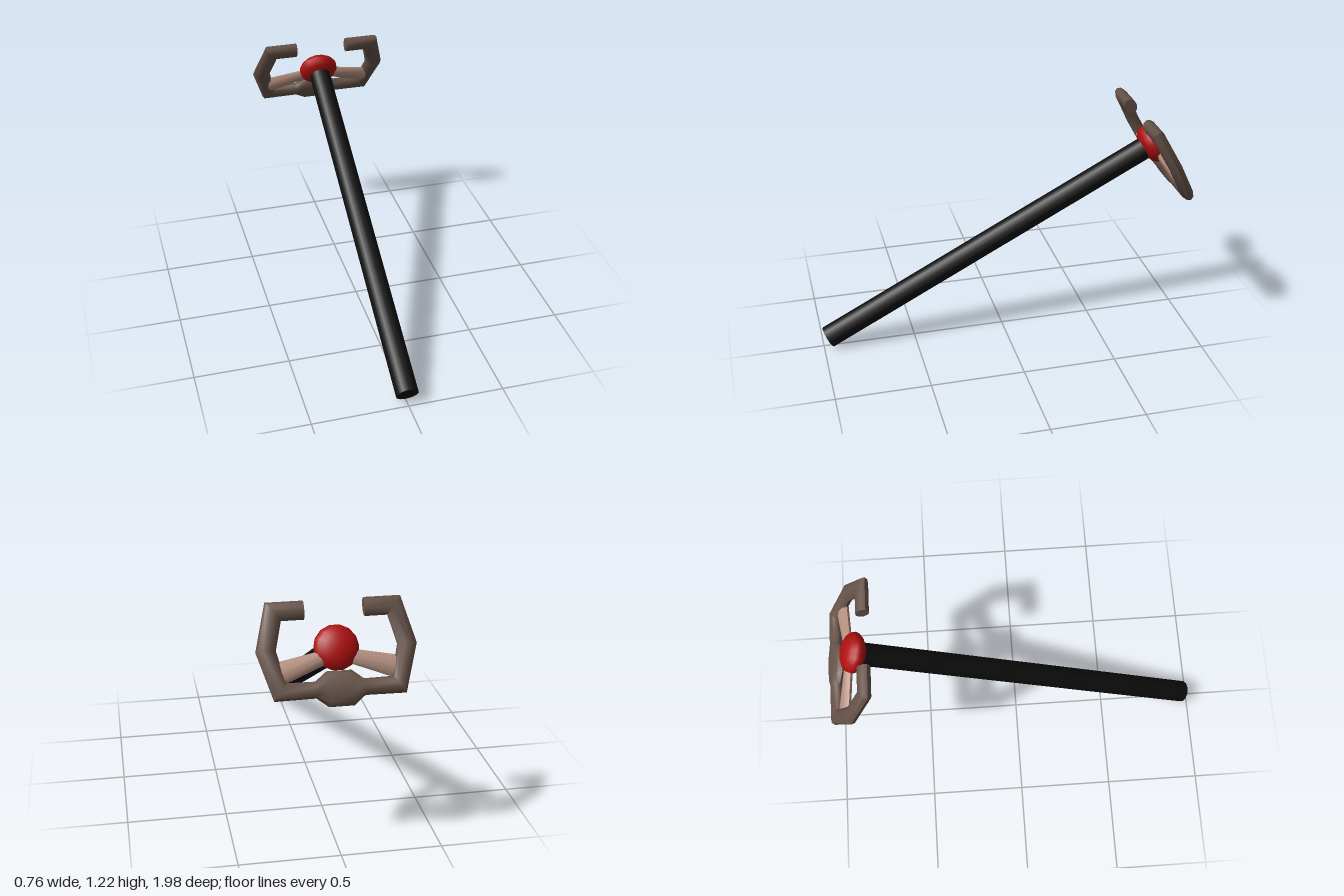
import * as THREE from 'three';
import { toCreasedNormals } from 'three/addons/utils/BufferGeometryUtils.js';

const mat = (name, color) => Object.assign(new THREE.MeshStandardMaterial({ color }), { name });

// Mitred oval tube in the xy plane; each point is [x, y, half width in plane, half depth]
function ovalTube(points, sides) {
  const pos = [], index = [];
  const dirs = points.slice(1).map((p, i) =>
    new THREE.Vector2(p[0] - points[i][0], p[1] - points[i][1]).normalize());
  points.forEach(([x, y, a, b], i) => {
    const d1 = dirs[Math.max(i - 1, 0)], d2 = dirs[Math.min(i, dirs.length - 1)];
    const d = d1.clone().add(d2).normalize();
    const w = a / d.dot(d1);
    for (let j = 0; j < sides; j++) {
      const t = (j / sides) * Math.PI * 2;
      pos.push(x - d.y * w * Math.cos(t), y + d.x * w * Math.cos(t), b * Math.sin(t));
    }
  });
  const last = points.length - 1;
  for (let j = 0; j < sides; j++) {
    const k = (j + 1) % sides;
    for (let i = 0; i < last; i++) {
      const p = i * sides, q = p + sides;
      index.push(p + j, p + k, q + j, p + k, q + k, q + j);
    }
    // end caps
    if (j > 0 && k > 0) {
      index.push(0, k, j);
      index.push(last * sides, last * sides + j, last * sides + k);
    }
  }
  const g = new THREE.BufferGeometry();
  g.setAttribute('position', new THREE.Float32BufferAttribute(pos, 3));
  g.setIndex(index);
  return toCreasedNormals(g, 0.8);
}

export function createModel() {
  const black = mat('black shaft', 0x0d0d0d);
  const red = mat('red gem', 0xae0f0f);
  const brown = mat('brown horn', 0x655248);
  const tan = mat('pale tan', 0xb59080);

  const model = new THREE.Group();
  model.name = 'staff';
  const add = (name, geometry, material, x, y, z) => {
    const m = new THREE.Mesh(geometry, material);
    m.name = name;
    m.position.set(x, y, z);
    model.add(m);
    return m;
  };

  // Shaft along z
  const shaftFront = 0.83, shaftBack = -1.18, axisY = 0.51;
  const shaft = new THREE.CylinderGeometry(0.06, 0.06, shaftFront - shaftBack, 12);
  shaft.rotateX(Math.PI / 2);
  add('shaft', shaft, black, 0, axisY, (shaftFront + shaftBack) / 2);

  // Flattened round gem at the head
  const gem = new THREE.SphereGeometry(0.109, 14, 10);
  gem.rotateX(Math.PI / 2);
  gem.scale(1, 1, 0.54);
  add('gem', gem, red, 0, axisY, -1.209);

  // Horned frame: half profile from the middle bulge to the tip, mirrored
  const half = [
    [0.06, 0.318, 0.083, 0.034],
    [0.115, 0.318, 0.039, 0.033],
    [0.28, 0.318, 0.041, 0.033],
    [0.333, 0.508, 0.046, 0.033],
    [0.286, 0.691, 0.045, 0.033],
    [0.143, 0.691, 0.045, 0.033],
  ];
  const mirrored = half.map(([x, ...rest]) => [-x, ...rest]).reverse();
  add('hornFrame', ovalTube([...mirrored, ...half], 10), brown, 0, 0, -1.224);

  // Flared braces between gem and frame
  for (const [name, s] of [['leftBrace', 1], ['rightBrace', -1]]) {
    const path = [[s * 0.05, 0.47, 0.033, 0.02], [s * 0.29, 0.4, 0.056, 0.026]];
    add(name, ovalTube(path, 8), tan, 0, 0, -1.216);
  }

  // Lean the whole staff back
  model.rotation.x = THREE.MathUtils.degToRad(28);
  const root = new THREE.Group();
  root.name = 'leaningStaff';
  root.add(model);
  return root;
}
